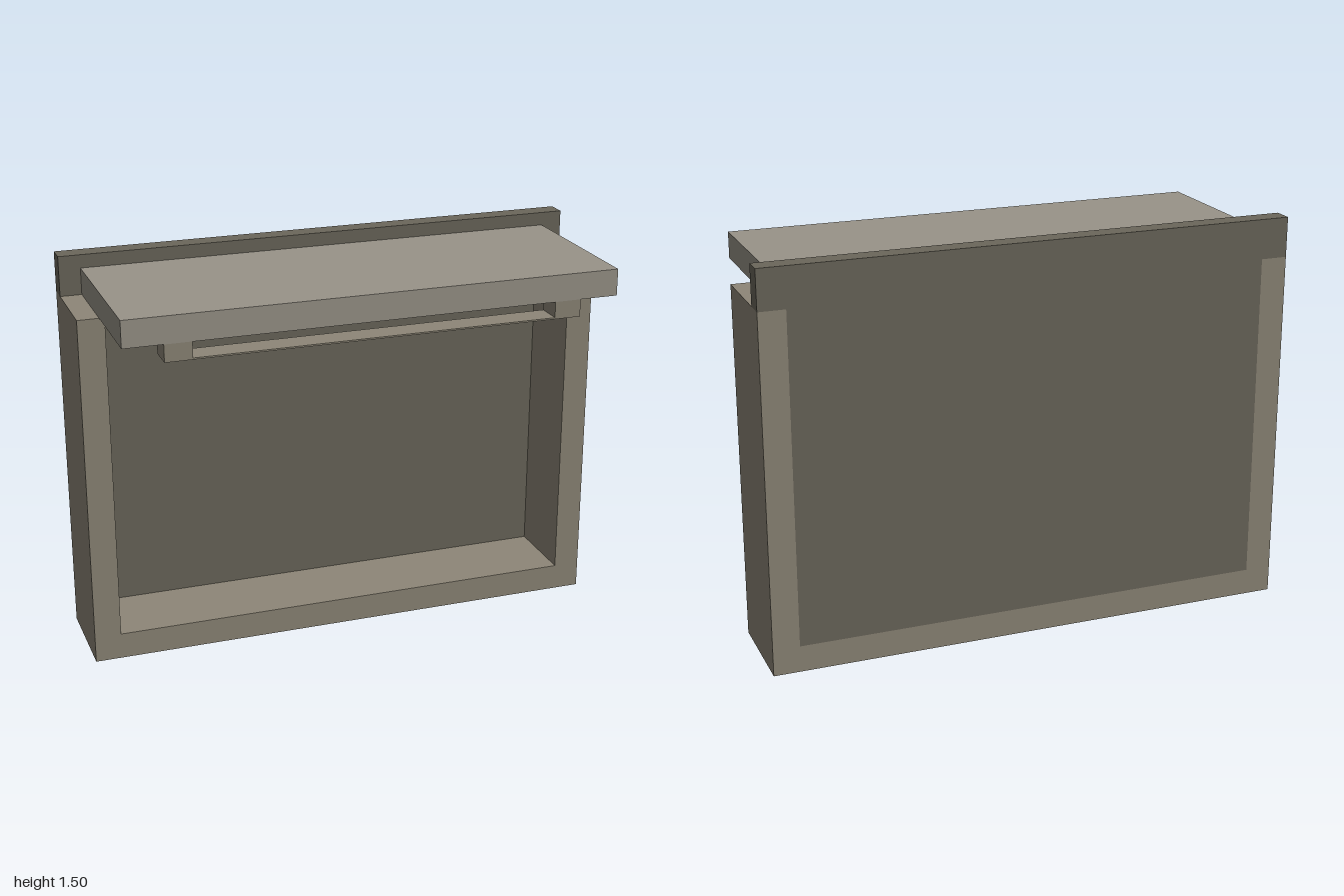
import * as THREE from 'three';

const material = (color) => new THREE.MeshStandardMaterial({ color, flatShading: true });

// Extrude an outline (with optional rectangular hole) between two z planes
function plate(name, points, z0, z1, mat, hole) {
  const toVectors = (list) => list.map(([x, y]) => new THREE.Vector2(x, y));
  const shape = new THREE.Shape(toVectors(points));
  if (hole) shape.holes.push(new THREE.Path(toVectors(hole)));
  const geometry = new THREE.ExtrudeGeometry(shape, { depth: z1 - z0, bevelEnabled: false });
  geometry.translate(0, 0, z0);
  const mesh = new THREE.Mesh(geometry, mat);
  mesh.name = name;
  return mesh;
}

const rect = (w, y0, y1) => [[-w, y0], [w, y0], [w, y1], [-w, y1]];

export function createModel() {
  const model = new THREE.Group();
  model.name = 'foldingDeskCabinet';
  const frameMat = material(0x8e8778);
  const panelMat = material(0x6b675b);
  const topMat = material(0x999489);

  const back = -0.365, panelFront = -0.29, frameFront = 0.01, front = 0.365;
  const rim = 1.35;

  // U-shaped frame: two sides and a floor, open at the top
  model.add(plate('frame', [
    [-1, 0], [1, 0], [1, rim], [0.9, rim], [0.9, 0.1], [-0.9, 0.1], [-0.9, rim], [-1, rim],
  ], back, frameFront, frameMat));

  // T-shaped back panel: fills the frame and widens into a top rail
  model.add(plate('backPanel', [
    [-0.9, 0.1], [0.9, 0.1], [0.9, rim], [1, rim], [1, 1.5], [-1, 1.5], [-1, rim], [-0.9, rim],
  ], back, panelFront, panelMat));

  // Shelf reaching forward from the rail
  model.add(plate('shelf', rect(0.92, rim, 1.45), panelFront, front, topMat));

  // Slotted handle under the front edge of the shelf
  model.add(plate('handle', rect(0.775, 1.285, rim), 0.265, front, frameMat,
    rect(0.675, 1.291, rim - 0.0005)));

  return model;
}
